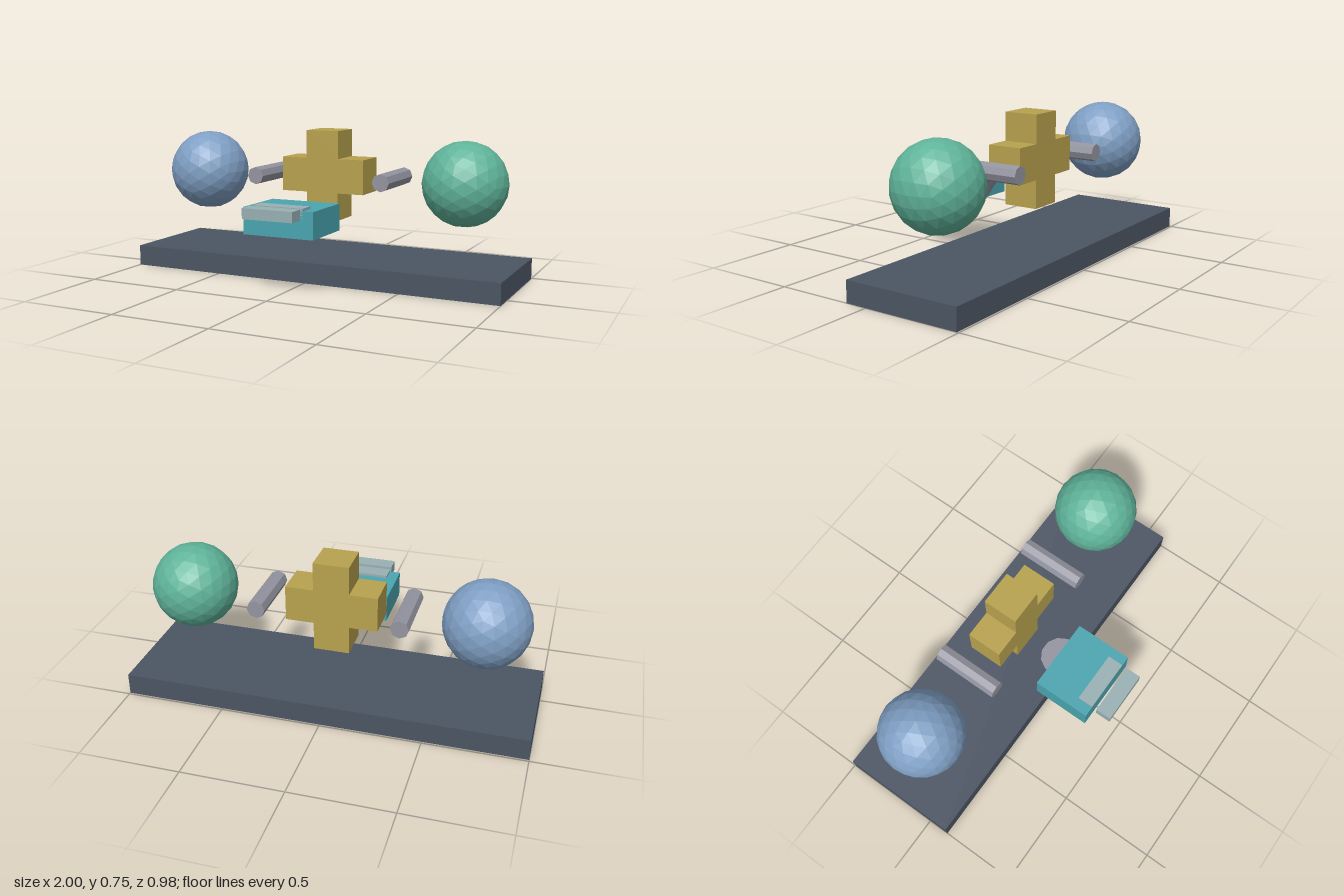
import * as THREE from 'three';

const mat = (color) => new THREE.MeshStandardMaterial({ color, flatShading: true });

export function createModel() {
  const model = new THREE.Group();

  const add = (name, geometry, material, x, y, z) => {
    const mesh = new THREE.Mesh(geometry, material);
    mesh.name = name;
    mesh.position.set(x, y, z);
    model.add(mesh);
    return mesh;
  };
  const slate = mat(0x4b5563);
  const gold = mat(0xb8a24e);
  const teal = mat(0x4aa5b0);
  const pale = mat(0x98b0b3);
  const grey = mat(0x9394a0);

  // Long base slab
  add('base', new THREE.BoxGeometry(2, 0.107, 0.6), slate, 0, 0.0535, -0.19);

  // Faceted balls and octagonal rods, one of each per side
  for (const [side, label, color] of [[-1, 'right', 0x7f9fc4], [1, 'left', 0x5fb399]]) {
    add(`${label}Ball`, new THREE.IcosahedronGeometry(0.212, 3), mat(color), side * 0.73, 0.508, -0.19);
    const rod = add(`${label}Rod`, new THREE.CylinderGeometry(0.045, 0.045, 0.335, 8), grey, side * 0.35, 0.51, -0.193);
    rod.rotation.x = Math.PI / 2;
  }

  // Upright plus: a = half arm width, w and h = half extents
  const a = 0.088, w = 0.227, h = 0.23;
  const plus = new THREE.Shape([
    [-a, -h], [a, -h], [a, -a], [w, -a], [w, a], [a, a],
    [a, h], [-a, h], [-a, a], [-w, a], [-w, -a], [-a, -a],
  ].map(([x, y]) => new THREE.Vector2(x, y)));
  add('plusBlock', new THREE.ExtrudeGeometry(plus, { depth: 0.178, bevelEnabled: false }), gold, 0, 0.521, -0.278);

  // Front block with two pale bars
  add('frontBlock', new THREE.BoxGeometry(0.37, 0.133, 0.294), teal, 0, 0.348, 0.238);
  add('innerBar', new THREE.BoxGeometry(0.264, 0.052, 0.08), pale, 0, 0.401, 0.345);
  add('outerBar', new THREE.BoxGeometry(0.264, 0.052, 0.08), pale, 0, 0.401, 0.45);

  // Downward cone set into the back of the front block
  const cone = add('cone', new THREE.ConeGeometry(0.1, 0.158, 12), grey, 0, 0.321, 0.105);
  cone.rotation.set(Math.PI, Math.PI / 12, 0);

  return model;
}
